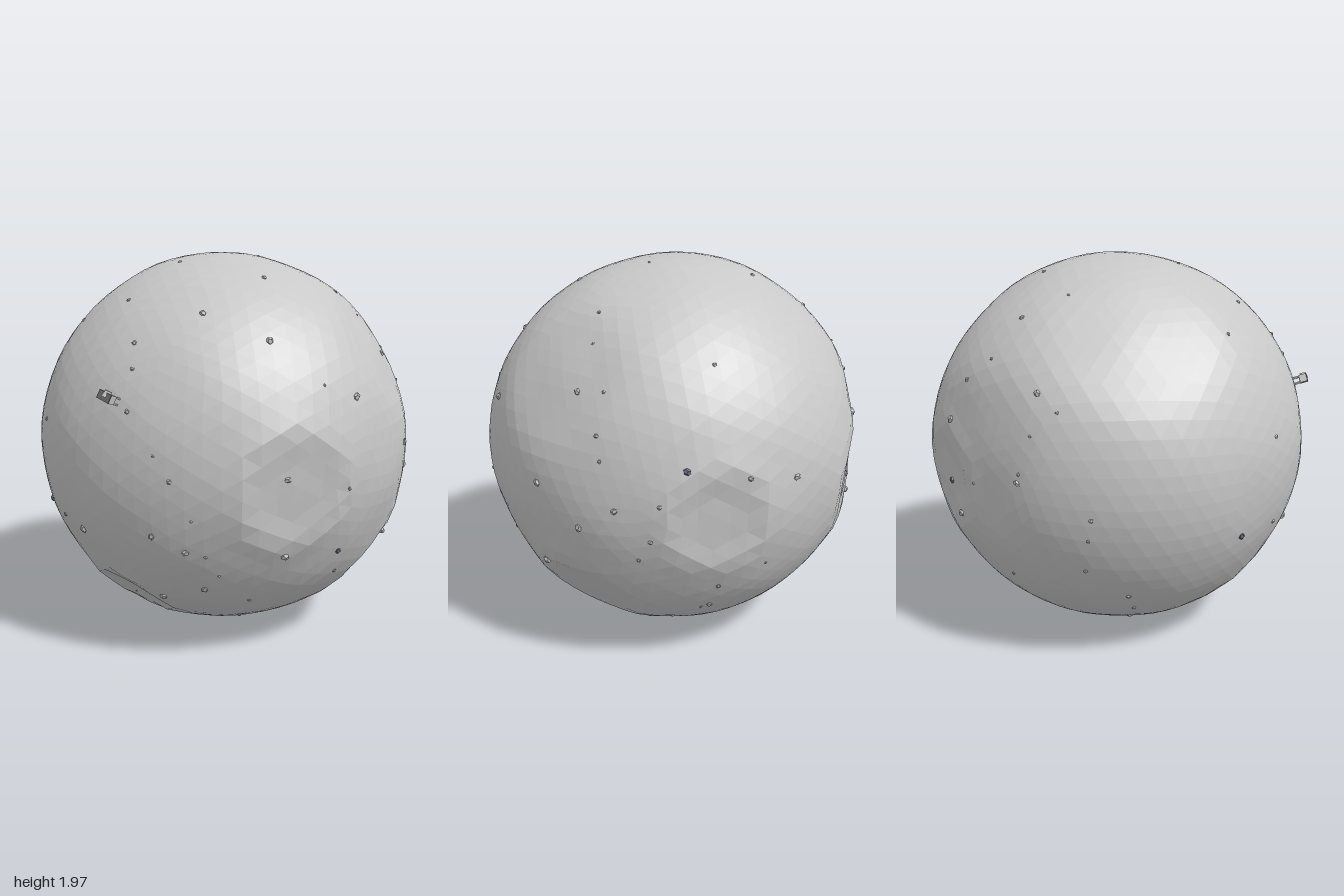
import * as THREE from 'three';

const V = (x, y, z) => new THREE.Vector3(x, y, z);
const CENTRE = V(-0.005, 0.985, 0);
const BASE = 0.985;

// Shallow basins: direction and angular width (narrow ones have a rim)
const BASINS = [
  [V(-0.72, 0.68, 0), 0.34],
  [V(0.85, 0.52, 0), 0.3],
  [V(-0.62, 0.1, -0.75), 0.34],
  [V(0.62, -0.08, 0.76), 0.22],
  [V(-0.28, -0.74, 0.6), 0.18],
  [V(0.6, -0.08, -0.78), 0.2],
  [V(-0.35, -0.1, -0.93), 0.22],
  [V(0.75, -0.62, -0.1), 0.24],
].map(([dir, width]) => ({ dir: dir.normalize(), width, rim: width < 0.25 ? 0.011 : 0 }));

// Distance from the centre to the ground in a given direction
function surfaceRadius(d) {
  let r = BASE + 0.01 * d.z * d.z
    + 0.006 * Math.sin(5 * d.x + 2 * d.z) * Math.sin(4 * d.y + 3 * d.z + 1)
    + 0.003 * Math.sin(11 * d.x + 4) * Math.sin(12 * d.y) * Math.sin(10 * d.z + 2);
  for (const b of BASINS) {
    const a = d.angleTo(b.dir) / b.width;
    r += b.rim * Math.exp(-(((a - 1.25) / 0.35) ** 2)) - 0.028 * Math.exp(-(a ** 4));
  }
  return r;
}

const onGround = (d, lift) => d.clone().multiplyScalar(surfaceRadius(d) + lift).add(CENTRE);

// Faceted ball shaped by the ground rule
function bodyGeometry() {
  const g = new THREE.IcosahedronGeometry(1, 12);
  const p = g.attributes.position;
  const v = V(0, 0, 0);
  for (let i = 0; i < p.count; i++) {
    v.fromBufferAttribute(p, i).normalize();
    v.multiplyScalar(surfaceRadius(v));
    p.setXYZ(i, v.x, v.y, v.z);
  }
  g.computeVertexNormals();
  return g;
}

// Larger rocks by side: turn and tilt of the side in degrees, then [across, up]
const ROCK_SIDES = [
  { turn: 0, tilt: 0, spots: [
    [0.14, 0.7], [0.45, 0.58], [0.81, 0.32], [0.59, -0.02], [-0.78, -0.3], [-0.43, -0.34],
    [-0.01, -0.29], [0.14, -0.36], [0.55, -0.4], [0.75, -0.43], [0.18, -0.58], [-0.05, -0.66]] },
  { turn: 90, tilt: 0, spots: [
    [0.13, 0.48], [-0.01, 0.03], [0.23, -0.14], [0.41, -0.02], [0.67, 0.18], [-0.07, -0.43]] },
  { turn: 214, tilt: 24, spots: [
    [0.41, 0.06], [-0.74, -0.18], [-0.14, -0.19], [0.38, -0.36], [-0.19, -0.5], [-0.07, -0.62]] },
  { turn: 139, tilt: -32, spots: [
    [0.06, -0.12], [-0.19, -0.52], [0.15, -0.65]] },
];

export function createModel() {
  const model = new THREE.Group();
  const material = (name, color) => Object.assign(new THREE.MeshStandardMaterial({ color }), { name });
  const dust = material('pale grey dust', 0xc8c8c8);
  const stone = material('grey stone', 0xb4b4b6);
  const darkStone = material('dark blue grey stone', 0x686c7c);
  const metal = material('light metal', 0xd0d0d0);
  const panel = material('dark panel', 0x6a6a6a);

  const add = (parent, name, geometry, mat) => {
    const mesh = new THREE.Mesh(geometry, mat);
    mesh.name = name;
    parent.add(mesh);
    return mesh;
  };

  // Main body
  add(model, 'moonBody', bodyGeometry(), dust).position.copy(CENTRE);

  // Rocks, half sunk in the ground
  const rocks = new THREE.Group();
  rocks.name = 'rocks';
  model.add(rocks);
  const rockShape = new THREE.DodecahedronGeometry(1, 0);
  const outward = V(0, 0, 1);
  const addRock = (name, d, size, mat) => {
    const rock = add(rocks, name, rockShape, mat);
    rock.position.copy(onGround(d, -size * 0.15));
    rock.quaternion.setFromUnitVectors(outward, d);
    rock.rotateZ(rocks.children.length * 2.4);
    rock.scale.set(size, size * 0.8, size * 0.75);
  };
  for (const { turn, tilt, spots } of ROCK_SIDES) {
    const rotation = new THREE.Euler(
      -THREE.MathUtils.degToRad(tilt), THREE.MathUtils.degToRad(turn), 0, 'YXZ');
    spots.forEach(([u, v], i) => {
      const w = Math.sqrt(BASE * BASE - u * u - v * v);
      const d = V(u, v, w).applyEuler(rotation).normalize();
      addRock('rock', d, 0.019 + 0.002 * (i % 3), i % 5 === 4 ? darkStone : stone);
    });
  }

  // Pebbles spread along a golden-angle spiral with a wobble
  const pebbles = 54;
  for (let i = 0; i < pebbles; i++) {
    const y = 1 - (2 * i + 1) / pebbles;
    const angle = i * 2.4 + 0.5 * Math.sin(i * 5.3);
    const ring = Math.sqrt(1 - y * y);
    addRock('pebble', V(ring * Math.cos(angle), y, ring * Math.sin(angle)), 0.009 + 0.002 * (i % 4), stone);
  }

  // Small landing craft standing on the front
  const lander = new THREE.Group();
  lander.name = 'lander';
  const up = V(-0.2, 0.32, 0.91).normalize();
  lander.position.copy(onGround(up, 0.02));
  lander.quaternion.setFromUnitVectors(outward, up);
  lander.rotateZ(-0.35);
  model.add(lander);
  add(lander, 'landerBody', new THREE.BoxGeometry(0.075, 0.04, 0.035), metal).position.z = 0.027;
  add(lander, 'landerPanel', new THREE.BoxGeometry(0.076, 0.041, 0.006), panel).position.z = 0.047;
  const cabin = add(lander, 'landerCabin', new THREE.CylinderGeometry(0.016, 0.02, 0.03, 8), metal);
  cabin.position.set(0, 0.014, 0.035);
  for (const x of [-0.03, 0.03]) {
    for (const y of [-0.015, 0.015]) {
      const leg = add(lander, 'landerLeg', new THREE.BoxGeometry(0.007, 0.007, 0.06), metal);
      leg.position.set(x, y, -0.01);
    }
  }
  return model;
}
